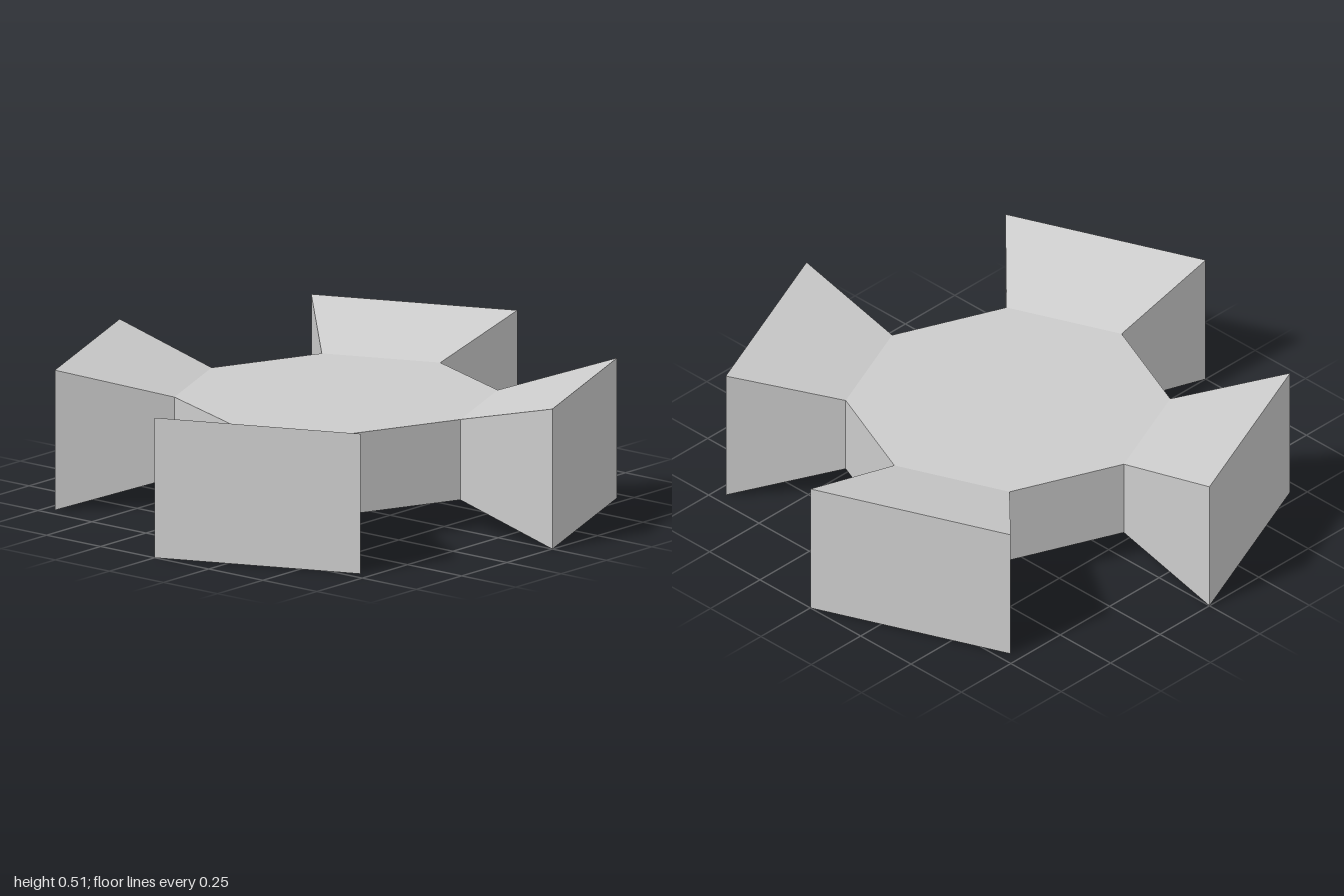
import * as THREE from 'three';

const STEP = Math.PI / 4;
const HUB = { radius: 0.575, bottom: 0.11, top: 0.404 };
const RIM = { radius: 1, bottom: 0, top: 0.512 };

// Flared block spanning one octagon side, widening from the hub to the rim
function armGeometry() {
  const geo = new THREE.BoxGeometry(1, 1, 1);
  // drop the last box face, which would be buried against the hub
  geo.setIndex(Array.from(geo.index.array).slice(0, 30));
  geo.clearGroups();
  const p = geo.attributes.position;
  for (let i = 0; i < p.count; i++) {
    const ring = p.getZ(i) > 0 ? RIM : HUB;
    const angle = p.getX(i) > 0 ? STEP : 0;
    const y = p.getY(i) > 0 ? ring.top : ring.bottom;
    p.setXYZ(i, ring.radius * Math.sin(angle), y, ring.radius * Math.cos(angle));
  }
  geo.computeVertexNormals();
  return geo;
}

export function createModel() {
  const model = new THREE.Group();
  model.name = 'flaredHub';
  const grey = new THREE.MeshStandardMaterial({ color: 0xcccccc, flatShading: true });
  grey.name = 'grey';

  const add = (name, geo) => {
    const mesh = new THREE.Mesh(geo, grey);
    mesh.name = name;
    model.add(mesh);
    return mesh;
  };

  // Octagonal top and bottom of the hub
  const top = add('hubTop', new THREE.CircleGeometry(HUB.radius, 8));
  top.rotation.x = -Math.PI / 2;
  top.position.y = HUB.top;
  const bottom = add('hubBottom', new THREE.CircleGeometry(HUB.radius, 8));
  bottom.rotation.x = Math.PI / 2;
  bottom.position.y = HUB.bottom;

  // Alternate flared arms and bare hub walls around the octagon
  const arm = armGeometry();
  const wall = new THREE.CylinderGeometry(
    HUB.radius, HUB.radius, HUB.top - HUB.bottom, 1, 1, true, STEP, STEP);
  for (let i = 0; i < 4; i++) {
    add('arm' + (i + 1), arm).rotation.y = i * Math.PI / 2;
    const side = add('hubWall' + (i + 1), wall);
    side.rotation.y = i * Math.PI / 2;
    side.position.y = (HUB.top + HUB.bottom) / 2;
  }
  return model;
}
